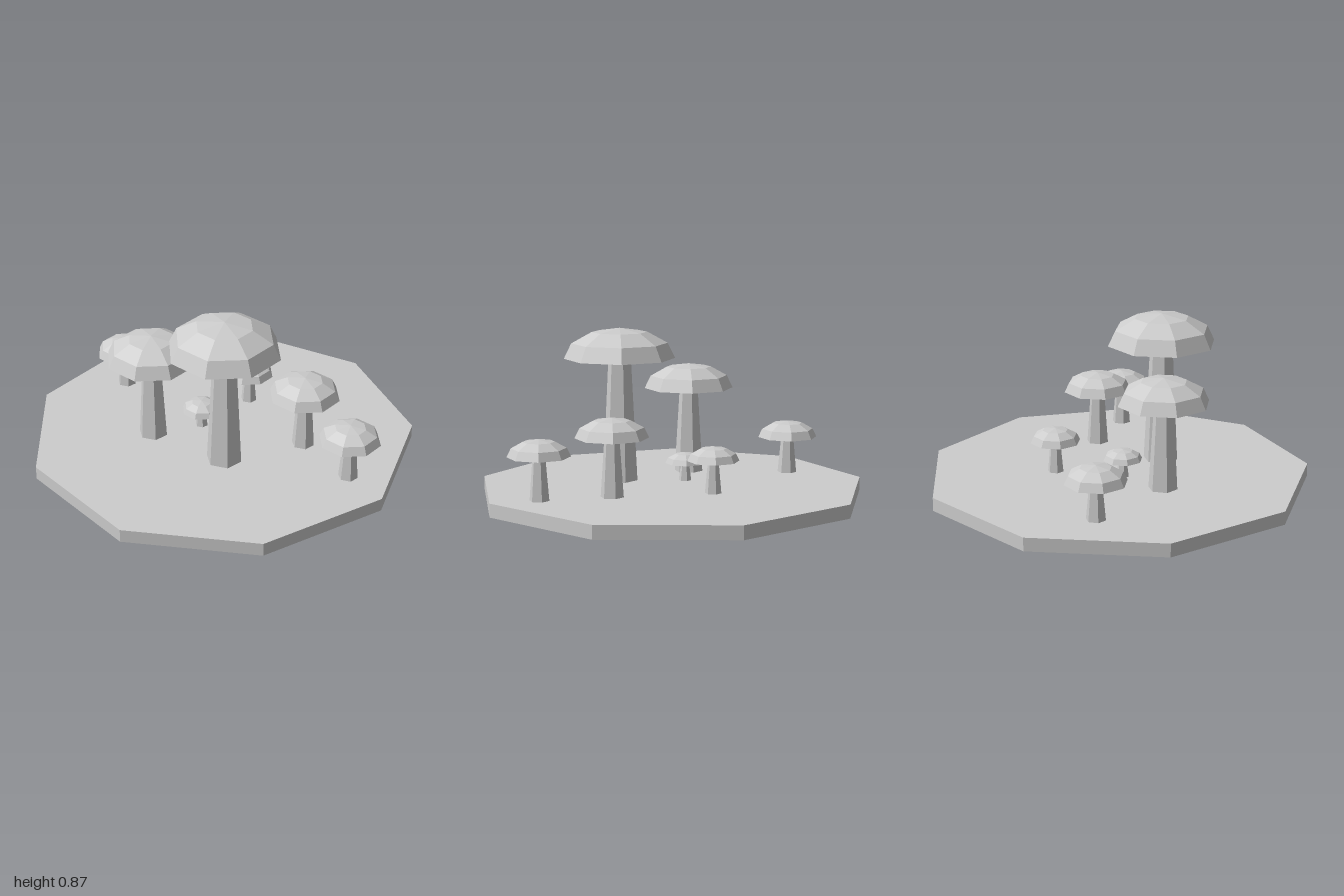
import * as THREE from 'three';

const grey = new THREE.MeshStandardMaterial({ color: 0xcccccc });
grey.name = 'light grey';

const BASE_TOP = 0.07;

// Splits a geometry into hard-edged facets
function faceted(geometry) {
  const flat = geometry.toNonIndexed();
  flat.computeVertexNormals();
  return flat;
}

function addPart(parent, name, geometry) {
  const mesh = new THREE.Mesh(faceted(geometry), grey);
  mesh.name = name;
  parent.add(mesh);
  return mesh;
}

// Six-sided tapered stem under an eight-sided squashed dome
function mushroom(name, x, z, radius, rim, apex) {
  const group = new THREE.Group();
  group.name = name;
  group.position.set(x, 0, z);

  const drop = radius * 0.085;
  const stemTop = rim - drop * 0.5;
  const stemHeight = stemTop - BASE_TOP;
  const stem = addPart(group, 'stem', new THREE.CylinderGeometry(
    radius * 0.21, radius * 0.32, stemHeight, 6, 1, false, Math.PI / 2));
  stem.position.y = BASE_TOP + stemHeight / 2;

  // Shallow cone underneath, then dome rings every 30 degrees
  const profile = [new THREE.Vector2(0, rim - drop)];
  for (let i = 0; i <= 3; i++) {
    const a = (i * Math.PI) / 6;
    profile.push(new THREE.Vector2(
      i === 3 ? 0 : radius * Math.cos(a), rim + (apex - rim) * Math.sin(a)));
  }
  addPart(group, 'cap', new THREE.LatheGeometry(profile, 8));
  return group;
}

export function createModel() {
  const model = new THREE.Group();
  model.name = 'mushroomPatch';

  // Nine-sided ground slab with one corner pointing to -x
  const ground = addPart(model, 'ground', new THREE.CylinderGeometry(
    1.0154, 1.0154, BASE_TOP, 9, 1, false, -Math.PI / 2));
  ground.position.set(0.031, BASE_TOP / 2, 0);

  // name, x, z, cap radius, rim height, apex height
  const patch = [
    ['tallMushroom', 0.135, 0.265, 0.29, 0.713, 0.873],
    ['secondMushroom', -0.295, 0.157, 0.238, 0.524, 0.657],
    ['middleMushroom', 0.48, 0, 0.185, 0.368, 0.469],
    ['leftMushroom', 0.777, 0.212, 0.158, 0.289, 0.376],
    ['rightMushroom', -0.615, -0.27, 0.158, 0.262, 0.35],
    ['backMushroom', 0.08, -0.322, 0.132, 0.235, 0.308],
    ['tinyMushroom', -0.08, 0, 0.104, 0.162, 0.218],
  ];
  for (const spec of patch) model.add(mushroom(...spec));

  return model;
}
